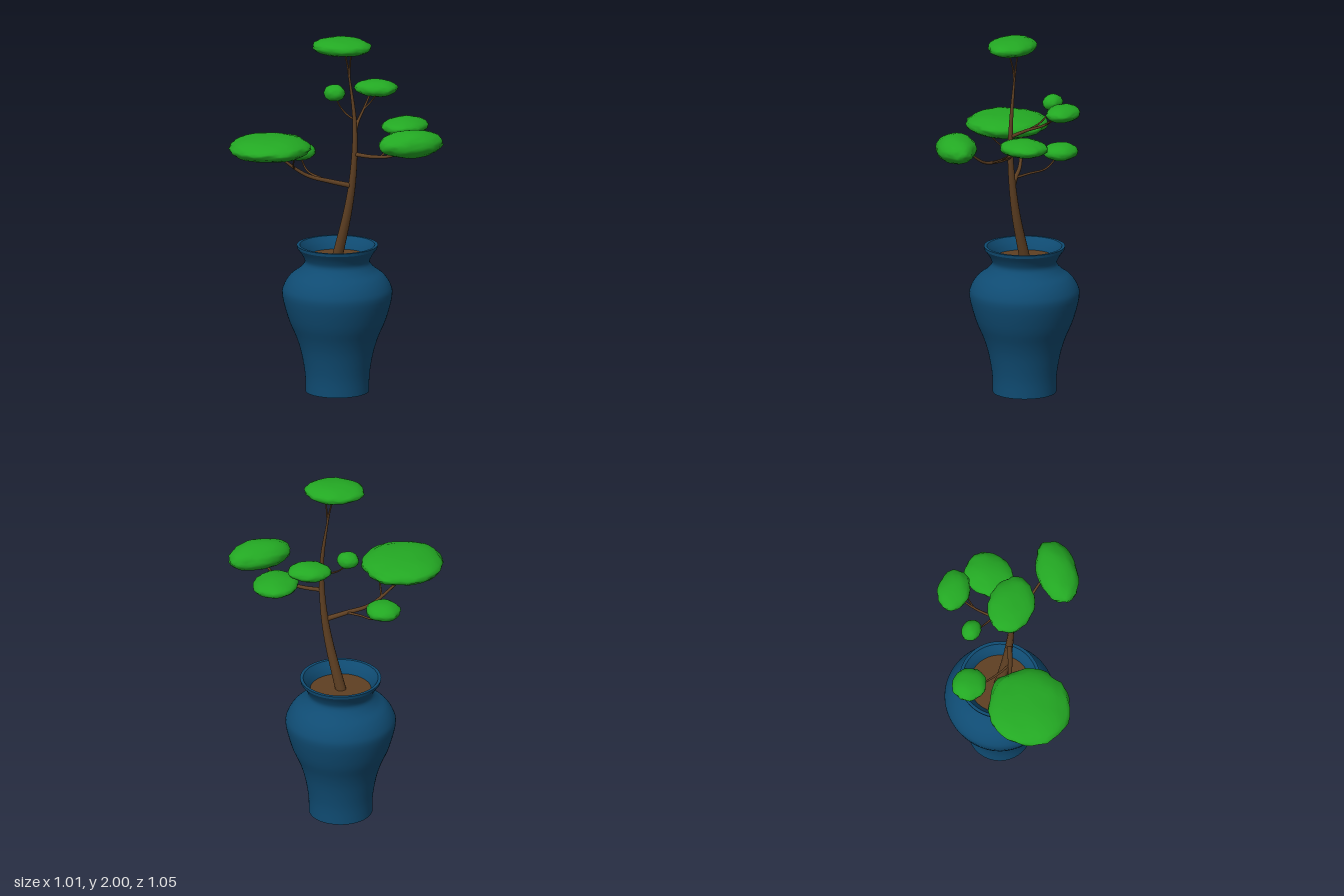
import * as THREE from 'three';
import { mergeVertices } from 'three/addons/utils/BufferGeometryUtils.js';

function flat(name, color) {
  const material = new THREE.MeshStandardMaterial({ color });
  material.name = name;
  return material;
}
const blue = flat('glazed blue', 0x0f4b72);
const bark = flat('bark brown', 0x5e3f22);
const earth = flat('earth brown', 0x5f3f22);
const leaf = flat('leaf green', 0x23a823);

const at = (x, y, z) => new THREE.Vector3(x, y, z);

function addMesh(parent, name, geometry, material) {
  const mesh = new THREE.Mesh(geometry, material);
  mesh.name = name;
  parent.add(mesh);
  return mesh;
}

// Round part turned from a smooth profile of [radius, height] points
function turned(profile) {
  const spline = new THREE.SplineCurve(profile.map(([r, y]) => new THREE.Vector2(r, y)));
  return new THREE.LatheGeometry(spline.getPoints(40), 64);
}

// Curved tube that narrows from r0 to r1
function limb(curve, r0, r1) {
  const rows = 20, sides = 10;
  const geo = new THREE.TubeGeometry(curve, rows, 1, sides);
  const pos = geo.attributes.position, v = new THREE.Vector3();
  for (let k = 0; k < pos.count; k++) {
    const t = Math.floor(k / (sides + 1)) / rows;
    const c = curve.getPointAt(t);
    v.fromBufferAttribute(pos, k).sub(c).multiplyScalar(r0 + (r1 - r0) * t).add(c);
    pos.setXYZ(k, v.x, v.y, v.z);
  }
  return geo;
}

function seeded(seed) {
  let s = seed;
  return () => (s = (s * 16807) % 2147483647) / 2147483647;
}

// Flattened, slightly lumpy cloud of leaves
function cloud(size, seed) {
  let geo = new THREE.IcosahedronGeometry(1, 5);
  geo.deleteAttribute('uv');
  geo.deleteAttribute('normal');
  geo = mergeVertices(geo, 1e-4);
  const rand = seeded(seed * 7919 + 13);
  const pos = geo.attributes.position, v = new THREE.Vector3();
  for (let i = 0; i < pos.count; i++) {
    v.fromBufferAttribute(pos, i);
    const wave = 0.03 * Math.sin(5 * v.x + seed) * Math.cos(4 * v.z + 2 * seed);
    const rim = 1 - Math.abs(v.y);
    v.multiplyScalar(0.98 + wave + (rand() - 0.5) * (0.03 + 0.05 * rim)).multiply(size);
    pos.setXYZ(i, v.x, v.y, v.z);
  }
  geo.computeVertexNormals();
  return geo;
}

function buildPot() {
  const pot = new THREE.Group();
  pot.name = 'pot';
  pot.position.set(-0.128, 0, -0.087);
  addMesh(pot, 'potBase', new THREE.CircleGeometry(0.174, 64), blue).rotation.x = Math.PI / 2;
  addMesh(pot, 'potBody', turned([
    [0.174, 0], [0.177, 0.1], [0.198, 0.22], [0.226, 0.31], [0.268, 0.41], [0.301, 0.54],
    [0.29, 0.6], [0.255, 0.65], [0.208, 0.685], [0.178, 0.725], [0.191, 0.765], [0.219, 0.805],
  ]), blue);
  addMesh(pot, 'potRimEdge', turned([[0.219, 0.805], [0.222, 0.822]]), blue);
  const rimTop = addMesh(pot, 'potRimTop', new THREE.RingGeometry(0.205, 0.222, 64), blue);
  addMesh(pot, 'potInside', turned([[0.205, 0.822], [0.18, 0.785], [0.163, 0.745], [0.163, 0.72]]), blue);
  const soil = addMesh(pot, 'soil', new THREE.CircleGeometry(0.168, 48), earth);
  rimTop.position.y = 0.822;
  soil.position.y = 0.755;
  rimTop.rotation.x = soil.rotation.x = -Math.PI / 2;
  return pot;
}

export function createModel() {
  const model = new THREE.Group();
  model.name = 'pottedTree';
  model.add(buildPot());

  const addLimb = (name, r0, r1, ...points) => {
    const curve = new THREE.CatmullRomCurve3(points);
    addMesh(model, name, limb(curve, r0, r1), bark);
    return curve;
  };
  let padCount = 0;
  const addPad = (name, centre, size, turn) => {
    const mesh = addMesh(model, name, cloud(size, ++padCount), leaf);
    mesh.position.copy(centre);
    mesh.rotation.y = THREE.MathUtils.degToRad(turn);
  };

  // Trunk, forking under the top pad
  const fork = at(-0.05, 1.77, -0.1);
  addLimb('trunk', 0.031, 0.006, at(-0.135, 0.73, -0.087), at(-0.065, 1, -0.098),
    at(-0.035, 1.17, -0.105), at(-0.018, 1.36, -0.108), at(-0.022, 1.55, -0.11), fork);
  addLimb('topTwig', 0.006, 0.003, fork, at(-0.062, 1.84, -0.097), at(-0.085, 1.94, -0.09));
  addLimb('topTwig', 0.006, 0.003, fork, at(-0.043, 1.84, -0.097), at(-0.018, 1.94, -0.085));
  addPad('topPad', at(-0.068, 1.952, -0.058), at(0.167, 0.05, 0.128), 30);

  // Low front branch with the largest pad and a small side pad
  const front = addLimb('frontBranch', 0.015, 0.005, at(-0.035, 1.165, -0.105),
    at(-0.12, 1.193, -0.015), at(-0.215, 1.23, 0.075), at(-0.345, 1.39, 0.24));
  addLimb('frontTwig', 0.006, 0.003, front.getPoint(0.77), at(-0.19, 1.31, 0.2), at(-0.12, 1.39, 0.26));
  addPad('frontPad', at(-0.28, 1.41, 0.293), at(0.226, 0.067, 0.232), 0);
  const low = at(-0.392, 1.308, -0.06);
  addLimb('lowTwig', 0.007, 0.004, front.getPoint(1 / 3), at(-0.21, 1.203, -0.018), at(-0.31, 1.22, -0.037), low);
  addPad('lowPad', low, at(0.098, 0.049, 0.093), 0);

  // Left branch with two pads
  const left = addLimb('leftBranch', 0.012, 0.005, at(-0.018, 1.345, -0.108),
    at(0.09, 1.343, -0.14), at(0.21, 1.365, -0.172), at(0.34, 1.46, -0.18));
  addPad('leftPad', at(0.372, 1.462, -0.142), at(0.187, 0.076, 0.112), 60);
  const split = at(0.122, 1.37, -0.21);
  addLimb('leftTwig', 0.006, 0.003, left.getPoint(0.46), split, at(0.1, 1.41, -0.3), at(0.065, 1.46, -0.36));
  addLimb('leftTwig', 0.005, 0.003, split, at(0.135, 1.41, -0.29), at(0.14, 1.46, -0.35));
  addPad('leftBackPad', at(0.094, 1.473, -0.392), at(0.122, 0.049, 0.14), 10);

  // High back branch with two pads
  const back = addLimb('backBranch', 0.01, 0.004, at(-0.02, 1.46, -0.11),
    at(-0.07, 1.505, -0.19), at(-0.12, 1.55, -0.29), at(-0.16, 1.635, -0.4));
  addLimb('backTwig', 0.005, 0.003, back.getPoint(2 / 3), at(-0.115, 1.58, -0.34), at(-0.1, 1.635, -0.39));
  addPad('backPad', at(-0.147, 1.64, -0.422), at(0.12, 0.047, 0.09), 30);
  const small = at(-0.245, 1.637, -0.19);
  addLimb('smallTwig', 0.006, 0.003, back.getPoint(1 / 3), at(-0.15, 1.53, -0.19), at(-0.21, 1.575, -0.19), small);
  addPad('smallPad', small, at(0.062, 0.047, 0.053), 20);

  return model;
}
